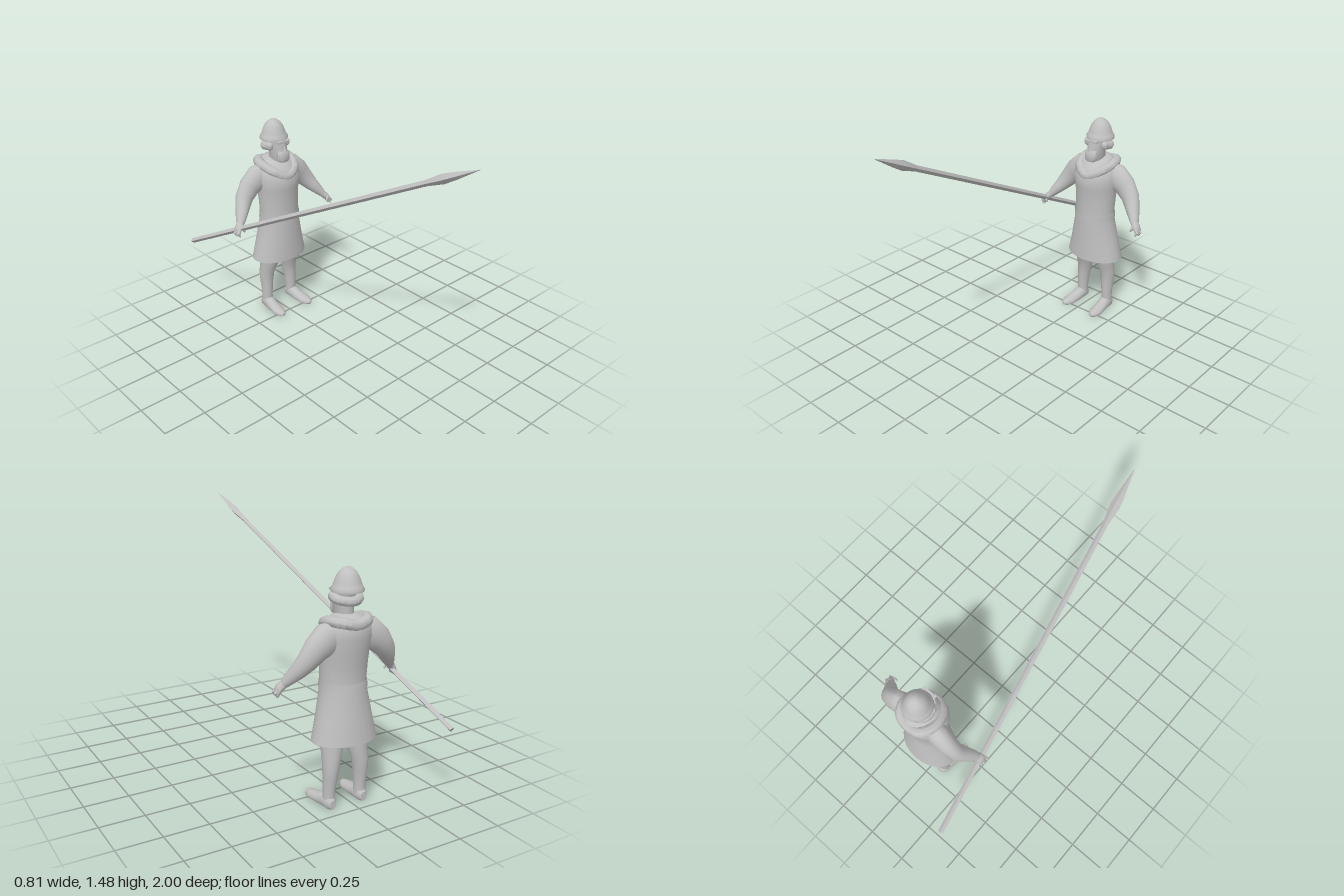
import * as THREE from 'three';
import { toCreasedNormals } from 'three/addons/utils/BufferGeometryUtils.js';

const CX = 0.027; // the figure stands slightly off centre, the spear fills the rest

const stone = new THREE.MeshStandardMaterial({ color: 0xc0c0c0, side: THREE.DoubleSide });
stone.name = 'plain grey';

function add(parent, name, geometry, crease = 0.8) {
  const mesh = new THREE.Mesh(toCreasedNormals(geometry, crease), stone);
  mesh.name = name;
  parent.add(mesh);
  return mesh;
}

// Skin over elliptical sections [x, y, z, a, b]; b is measured along ref.
function loft(sections, { ref = [0, 0, 1], dir = null, n = 16, from = 0, to = Math.PI * 2, caps = true } = {}) {
  const pos = [], idx = [], row = n + 1;
  const centres = sections.map(s => new THREE.Vector3(s[0], s[1], s[2]));
  const axis = new THREE.Vector3(...ref);
  sections.forEach((s, i) => {
    const t = dir ? new THREE.Vector3(...dir)
      : centres[Math.min(i + 1, centres.length - 1)].clone().sub(centres[Math.max(i - 1, 0)]);
    t.normalize();
    const u = t.clone().cross(axis).normalize();
    const v = u.clone().cross(t);
    for (let j = 0; j <= n; j++) {
      const k = from + (to - from) * j / n;
      const p = centres[i].clone().addScaledVector(u, Math.cos(k) * s[3]).addScaledVector(v, Math.sin(k) * s[4]);
      pos.push(p.x, p.y, p.z);
    }
  });
  for (let i = 0; i < sections.length - 1; i++) {
    for (let j = 0; j < n; j++) {
      const a = i * row + j, c = a + row;
      idx.push(a, c, a + 1, a + 1, c, c + 1);
    }
  }
  if (caps) {
    const last = (sections.length - 1) * row, c0 = pos.length / 3;
    pos.push(...centres[0].toArray(), ...centres[centres.length - 1].toArray());
    for (let j = 0; j < n; j++) idx.push(c0, j, j + 1, c0 + 1, last + j + 1, last + j);
  }
  const g = new THREE.BufferGeometry();
  g.setAttribute('position', new THREE.Float32BufferAttribute(pos, 3));
  g.setIndex(idx);
  return g;
}

const curve = (points, closed = false) =>
  new THREE.CatmullRomCurve3(points.map(p => new THREE.Vector3(...p)), closed);

function ellipsoid(x, y, z, rx, ry, rz) {
  return new THREE.SphereGeometry(1, 12, 8).scale(rx, ry, rz).translate(x, y, z);
}

function buildTunic(g) {
  const up = { dir: [0, 1, 0], n: 24 };
  add(g, 'tunic', loft([
    [0, 0.372, -0.63, 0.187, 0.134], [0, 0.5, -0.623, 0.158, 0.123],
    [0, 0.65, -0.612, 0.128, 0.112], [0, 0.7, -0.61, 0.127, 0.109],
    [0, 0.78, -0.613, 0.13, 0.113], [0, 0.86, -0.615, 0.135, 0.123],
    [0, 0.93, -0.615, 0.146, 0.132], [0, 0.99, -0.63, 0.132, 0.118],
    [0, 1.03, -0.64, 0.09, 0.085], [0, 1.045, -0.64, 0.05, 0.06],
  ], up));
  // Belt band
  add(g, 'belt', loft([
    [0, 0.65, -0.612, 0.132, 0.116], [0, 0.69, -0.61, 0.131, 0.113],
  ], { ...up, caps: false }));
  // Thin apron lying on the front of the skirt
  add(g, 'apronPanel', loft([
    [0, 0.41, -0.628, 0.184, 0.134], [0, 0.5, -0.623, 0.162, 0.127], [0, 0.65, -0.612, 0.132, 0.116],
  ], { ...up, n: 10, from: Math.PI * 0.31, to: Math.PI * 0.69, caps: false }));
  // Thick hood folded around the neck, hanging lower in front
  const hood = curve([
    [0, 1.0, -0.725], [0.075, 1.015, -0.705], [0.105, 1.012, -0.63], [0.075, 0.98, -0.545],
    [0, 0.945, -0.512], [-0.075, 0.98, -0.545], [-0.105, 1.012, -0.63], [-0.075, 1.015, -0.705],
  ], true);
  add(g, 'hoodCollar', new THREE.TubeGeometry(hood, 32, 0.031, 8, true));
}

function buildHead(g) {
  add(g, 'head', loft([
    [0, 0.98, -0.62, 0.055, 0.055], [0, 1.03, -0.605, 0.044, 0.062],
    [0, 1.04, -0.6, 0.047, 0.068], [0, 1.09, -0.6, 0.048, 0.066],
    [0, 1.13, -0.605, 0.056, 0.066], [0, 1.17, -0.615, 0.06, 0.07],
  ], { dir: [0, 1, 0] }));
  add(g, 'beard', loft([
    [0, 1.03, -0.545, 0.03, 0.018], [0, 1.045, -0.545, 0.042, 0.024], [0, 1.085, -0.545, 0.044, 0.02],
    [0, 1.1, -0.55, 0.036, 0.016],
  ], { dir: [0, 1, 0], n: 10 }));
  add(g, 'nose', new THREE.ConeGeometry(0.014, 0.05, 4).translate(0, 1.12, -0.53));
  add(g, 'brow', new THREE.BoxGeometry(0.085, 0.012, 0.03).translate(0, 1.155, -0.55));
  // Roll of hair round the back, from ear to ear
  const hair = curve([
    [0.062, 1.13, -0.595], [0.062, 1.12, -0.65], [0, 1.112, -0.685], [-0.062, 1.12, -0.65], [-0.062, 1.13, -0.595],
  ]);
  add(g, 'hairRoll', new THREE.TubeGeometry(hair, 16, 0.026, 8));
  for (const s of [1, -1]) add(g, 'ear', ellipsoid(s * 0.063, 1.13, -0.595, 0.022, 0.026, 0.022));
  // Domed helmet with a rim
  const profile = [[0, 1.165], [0.079, 1.165], [0.085, 1.158], [0.086, 1.172], [0.077, 1.185], [0.071, 1.2],
    [0.061, 1.23], [0.045, 1.256], [0.022, 1.275], [0, 1.284]].map(p => new THREE.Vector2(...p));
  add(g, 'helmet', new THREE.LatheGeometry(profile, 20).translate(0, 0, -0.635));
}

function buildArm(g, s) {
  const arm = new THREE.Group();
  arm.name = s > 0 ? 'leftArm' : 'rightArm';
  g.add(arm);
  add(arm, 'sleeve', loft([
    [s * 0.065, 0.955, -0.64, 0.065, 0.055], [s * 0.125, 0.93, -0.645, 0.088, 0.062],
    [s * 0.19, 0.885, -0.65, 0.073, 0.056], [s * 0.24, 0.825, -0.642, 0.057, 0.05],
    [s * 0.275, 0.775, -0.615, 0.043, 0.043], [s * 0.31, 0.73, -0.585, 0.03, 0.034],
    [s * 0.328, 0.705, -0.57, 0.022, 0.026],
  ]));
  add(arm, 'hand', loft([
    [s * 0.322, 0.712, -0.573, 0.02, 0.024], [s * 0.344, 0.69, -0.562, 0.022, 0.03],
    [s * 0.36, 0.667, -0.558, 0.015, 0.03], [s * 0.362, 0.645, -0.553, 0.009, 0.022],
  ], { n: 10 }));
  // Thumb and two curled fingers
  for (const [z, x, y] of [[-0.535, 0.325, 0.665], [-0.54, 0.358, 0.64], [-0.57, 0.362, 0.638]]) {
    add(arm, 'finger', loft([
      [s * 0.345, 0.69, z, 0.011, 0.01], [s * (x + 0.012), y + 0.022, z + 0.004, 0.01, 0.009],
      [s * x, y, z + 0.006, 0.005, 0.005],
    ], { n: 6 }));
  }
}

function buildLeg(g, s) {
  const leg = new THREE.Group();
  leg.name = s > 0 ? 'leftLeg' : 'rightLeg';
  g.add(leg);
  add(leg, 'trouser', loft([
    [s * 0.072, 0.02, -0.647, 0.032, 0.035], [s * 0.098, 0.06, -0.645, 0.033, 0.036],
    [s * 0.097, 0.11, -0.645, 0.033, 0.038], [s * 0.095, 0.18, -0.65, 0.039, 0.046],
    [s * 0.09, 0.25, -0.65, 0.047, 0.051], [s * 0.08, 0.31, -0.637, 0.055, 0.062],
    [s * 0.075, 0.38, -0.625, 0.063, 0.075], [s * 0.075, 0.44, -0.622, 0.063, 0.075],
  ].map((p, i) => i ? p : [s * 0.098, ...p.slice(1)]), { dir: [0, 1, 0] }));
  // Soft shoe with a flat sole, toes turned slightly out
  const shoe = loft([
    [s * 0.098, 0.025, -0.688, 0.018, 0.026], [s * 0.099, 0.03, -0.67, 0.032, 0.042],
    [s * 0.1, 0.03, -0.62, 0.037, 0.046], [s * 0.104, 0.02, -0.57, 0.038, 0.034],
    [s * 0.109, 0.014, -0.51, 0.039, 0.026], [s * 0.111, 0.013, -0.472, 0.026, 0.021],
    [s * 0.112, 0.014, -0.455, 0.01, 0.011],
  ], { ref: [0, 1, 0], dir: [0, 0, 1], n: 14 });
  const p = shoe.attributes.position;
  for (let i = 0; i < p.count; i++) p.setY(i, Math.max(0, p.getY(i)));
  add(leg, 'shoe', shoe, 0.7);
}

function buildSpear(g) {
  const butt = new THREE.Vector3(-0.388, 0.456, -0.995), tip = new THREE.Vector3(-0.055, 1.483, 1);
  const at = (k, a, b) => [...butt.clone().lerp(tip, k).toArray(), a, b];
  const opts = { ref: [0, 1, 0], n: 4 };
  add(g, 'spearShaft', loft([at(0, 0.016, 0.016), at(0.88, 0.016, 0.016)], opts), 0.3);
  add(g, 'spearHead', loft([
    at(0.86, 0.016, 0.016), at(0.905, 0.028, 0.026), at(0.94, 0.02, 0.019), at(1, 0.001, 0.001),
  ], opts), 0.3);
}

export function createModel() {
  const model = new THREE.Group();
  model.name = 'spearman';
  const figure = new THREE.Group();
  figure.name = 'figure';
  figure.position.x = CX;
  buildTunic(figure);
  buildHead(figure);
  for (const s of [1, -1]) {
    buildArm(figure, s);
    buildLeg(figure, s);
  }
  model.add(figure);
  const spear = new THREE.Group();
  spear.name = 'spear';
  buildSpear(spear);
  model.add(spear);
  return model;
}
